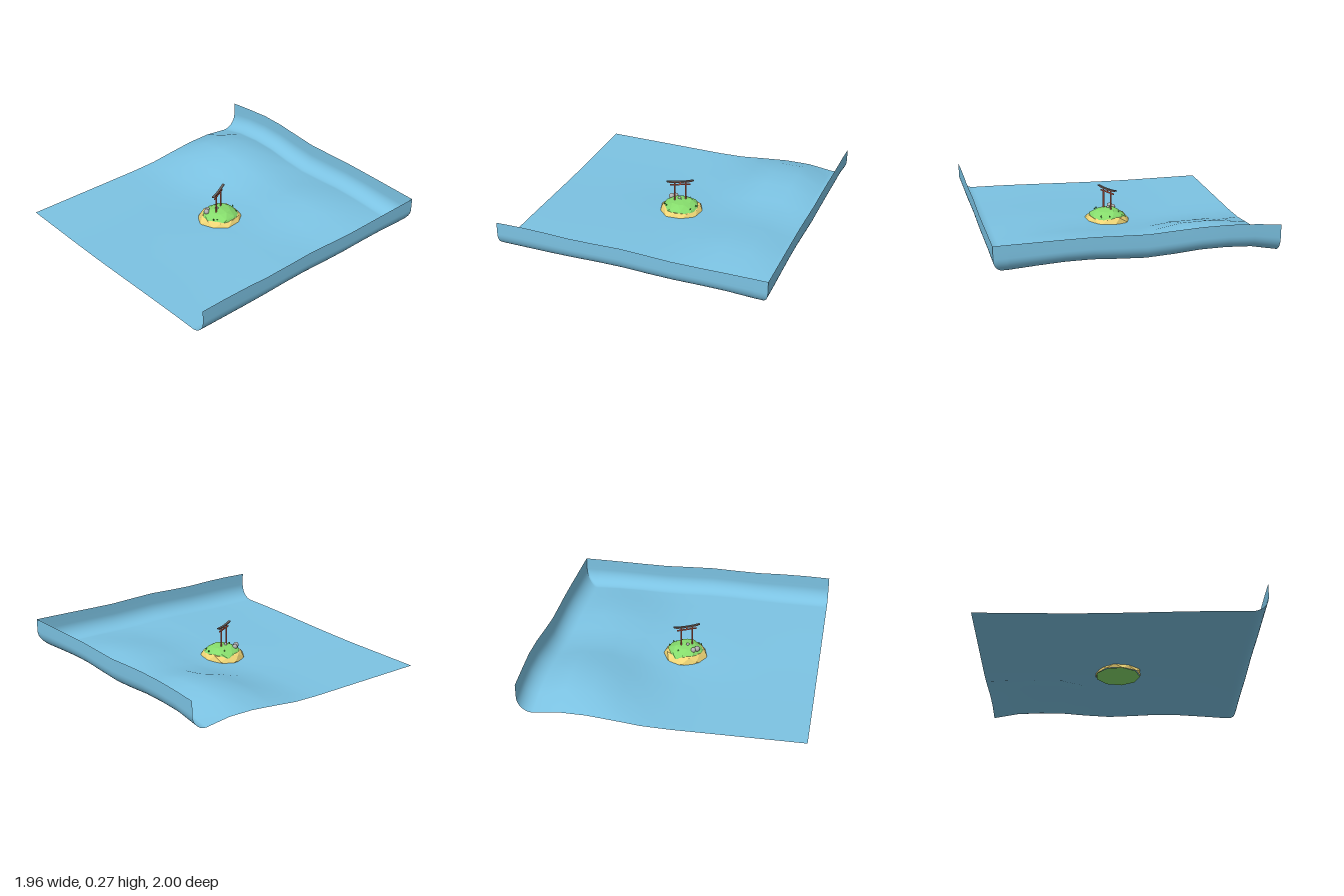
import * as THREE from 'three';

const mat = (color, opts = {}) => new THREE.MeshStandardMaterial({ color, ...opts });
const smooth = THREE.MathUtils.smoothstep;

// Linear interpolation through [position, value] pairs
function curve(pts, t) {
  if (t <= pts[0][0]) return pts[0][1];
  for (let i = 1; i < pts.length; i++) {
    const [a, va] = pts[i - 1], [b, vb] = pts[i];
    if (t <= b) return va + (vb - va) * (t - a) / (b - a);
  }
  return pts[pts.length - 1][1];
}

const CREST = [[-0.98, 0.06], [-0.82, 0.13], [-0.66, 0.157], [-0.45, 0.157], [-0.28, 0.122], [-0.1, 0.085],
  [0.08, 0.092], [0.27, 0.116], [0.45, 0.116], [0.63, 0.093], [0.88, 0.056]];
const SWELL = [[-0.98, 0.5], [-0.88, 0.52], [-0.69, 0.96], [-0.6, 1], [-0.5, 0.9], [-0.32, 0.54], [-0.13, 0.12], [0.06, 0]];
const BACK_TOP = [[-0.98, 0.245], [-0.8, 0.262], [-0.6, 0.275], [-0.45, 0.274], [-0.25, 0.262], [-0.08, 0.248],
  [0.1, 0.253], [0.35, 0.261], [0.65, 0.257], [0.98, 0.252]];
const SIDE_TOP = [[-0.98, 0.252], [-0.75, 0.249], [-0.5, 0.243], [-0.3, 0.24], [-0.15, 0.246], [0.02, 0.254],
  [0.25, 0.246], [0.42, 0.241], [0.72, 0.25], [1, 0.242]];

// Height of the rolling water
function waterHeight(x, z) {
  const base = 0.008 + 0.03 * smooth(x, -0.45, 0.9)
    + 0.018 * smooth(x, -0.3, 0.1) * Math.exp(-(((z - 0.1) / 0.35) ** 2));
  return base + (curve(CREST, x) - base) * curve(SWELL, z);
}

// Steps across the sheet: flat run, quarter bend, then a short upright wall
function curlSteps(start, end, flat) {
  const steps = [], r = 0.11;
  for (let i = 0; i < flat; i++) steps.push([start + (end - r - start) * i / flat, 0]);
  for (let i = 0; i <= 10; i++) {
    const a = i / 10 * Math.PI / 2;
    steps.push([end - r + r * Math.sin(a), 0.55 * (1 - Math.cos(a))]);
  }
  steps.push([end, 0.78], [end, 1]);
  return steps;
}

function makeWater() {
  const xs = curlSteps(-0.98, 0.984, 10), zs = curlSteps(-1, 0.988, 10);
  const pos = [], idx = [], n = xs.length;
  zs.forEach(([zNeg, liftZ], j) => xs.forEach(([x, liftX], i) => {
    const z = -zNeg;
    const top = liftZ > liftX ? curve(BACK_TOP, x) : curve(SIDE_TOP, z);
    const y = THREE.MathUtils.lerp(waterHeight(x, z), top, Math.max(liftX, liftZ));
    // the back rows bow outward behind the larger swell
    const bow = -0.012 * Math.exp(-(((x + 0.55) / 0.3) ** 2)) * smooth(-z, 0.1, 0.7);
    pos.push(x, y, z + bow);
    if (i && j) {
      const d = j * n + i, c = d - 1, b = d - n, a = b - 1;
      idx.push(a, b, d, a, d, c);
    }
  }));
  const g = new THREE.BufferGeometry();
  g.setAttribute('position', new THREE.Float32BufferAttribute(pos, 3));
  g.setIndex(idx);
  g.computeVertexNormals();
  return g;
}

// Stacked uneven rings, [radius, y] from bottom to top
function ringStack(rings, sides = 9) {
  const pos = [], idx = [];
  rings.forEach(([r, y], k) => {
    for (let i = 0; i < sides; i++) {
      const a = (i + (k % 2) / 2) / sides * Math.PI * 2;
      const rr = r * (1 + 0.03 * Math.sin(i * 2.7 + k * 1.9));
      const yy = y + (y > 0.01 && r > 0.01 ? 0.004 * Math.sin(i * 4.1 + k) : 0);
      pos.push(Math.cos(a) * rr, yy, Math.sin(a) * rr);
      if (k) {
        const n = (i + 1) % sides, lo = (k - 1) * sides, hi = k * sides;
        if (k % 2) idx.push(lo + i, hi + i, lo + n, lo + n, hi + i, hi + n);
        else idx.push(lo + i, hi + i, hi + n, lo + i, hi + n, lo + n);
      }
    }
  });
  const g = new THREE.BufferGeometry();
  g.setAttribute('position', new THREE.Float32BufferAttribute(pos, 3));
  g.setIndex(idx);
  g.computeVertexNormals();
  return g;
}

export function createModel() {
  const model = new THREE.Group();
  const add = (parent, name, geo, material, x = 0, y = 0, z = 0) => {
    const m = new THREE.Mesh(geo, material);
    m.name = name;
    m.position.set(x, y, z);
    parent.add(m);
    return m;
  };

  add(model, 'waterSheet', makeWater(), mat(0x7cc3e3, { side: THREE.DoubleSide }));

  // Faceted island: sand skirt, grassy dome, flat underside
  const island = new THREE.Group();
  island.name = 'island';
  island.position.set(0, 0, 0.01);
  model.add(island);
  const sand = mat(0xf0d676, { flatShading: true });
  const grass = mat(0x86dc6c, { flatShading: true });
  add(island, 'sandSkirt', ringStack([[0.168, 0.002], [0.164, 0.03], [0.138, 0.064], [0.11, 0.07]]), sand);
  add(island, 'grassDome', ringStack([[0.143, 0.048], [0.122, 0.077], [0.075, 0.104], [0.001, 0.114]]), grass);
  const base = add(island, 'islandUnderside', new THREE.CircleGeometry(0.163, 9), grass, 0, 0.002, 0);
  base.rotation.x = Math.PI / 2;

  // Boulders
  const stone = mat(0xb4b4b4);
  [[-0.045, 0.1, 0.105, 0.021], [-0.065, 0.098, 0.08, 0.019], [-0.015, 0.113, 0.03, 0.012]].forEach(([x, y, z, r]) =>
    add(model, 'boulder', new THREE.SphereGeometry(r, 10, 8), stone, x, y, z));

  // Grass tufts
  const tuft = mat(0x4c9a3f, { flatShading: true });
  [[0.07, 0.087, 0.1], [0.055, 0.087, 0.122], [0.005, 0.088, -0.11], [0.065, 0.087, -0.09],
    [-0.08, 0.095, -0.03]].forEach(([x, y, z], i) => {
    const t = add(model, 'grassTuft', new THREE.ConeGeometry(0.008, 0.014, 4), tuft, x, y, z);
    t.rotation.set(0.25 * Math.sin(i), i, 0.25 * Math.cos(i));
  });

  // Gate with two posts, a tie beam and an upswept roof beam
  const gate = new THREE.Group();
  gate.name = 'gate';
  gate.position.set(-0.007, 0, 0.021);
  gate.rotation.y = -Math.atan2(0.18, 0.09);
  model.add(gate);
  const red = mat(0xdc6c55), dark = mat(0x6b625e, { flatShading: true });
  for (const s of [-1, 1]) {
    add(gate, 'gatePost', new THREE.CylinderGeometry(0.0055, 0.006, 0.155, 10), red, s * 0.042, 0.176, 0);
  }
  add(gate, 'tieBeam', new THREE.BoxGeometry(0.15, 0.009, 0.007), red, 0, 0.234, 0);
  add(gate, 'centreStrut', new THREE.BoxGeometry(0.009, 0.02, 0.006), red, 0, 0.246, 0);
  for (const [name, len, h, depth, y, m] of [['upperBeam', 0.17, 0.006, 0.009, 0.252, red], ['roofBeam', 0.2, 0.007, 0.017, 0.258, dark]]) {
    const g = new THREE.BoxGeometry(len, h, depth, 10);
    const p = g.attributes.position;
    for (let i = 0; i < p.count; i++) p.setY(i, p.getY(i) + 0.7 * p.getX(i) ** 2);
    g.computeVertexNormals();
    add(gate, name, g, m, 0, y, 0);
  }
  return model;
}
